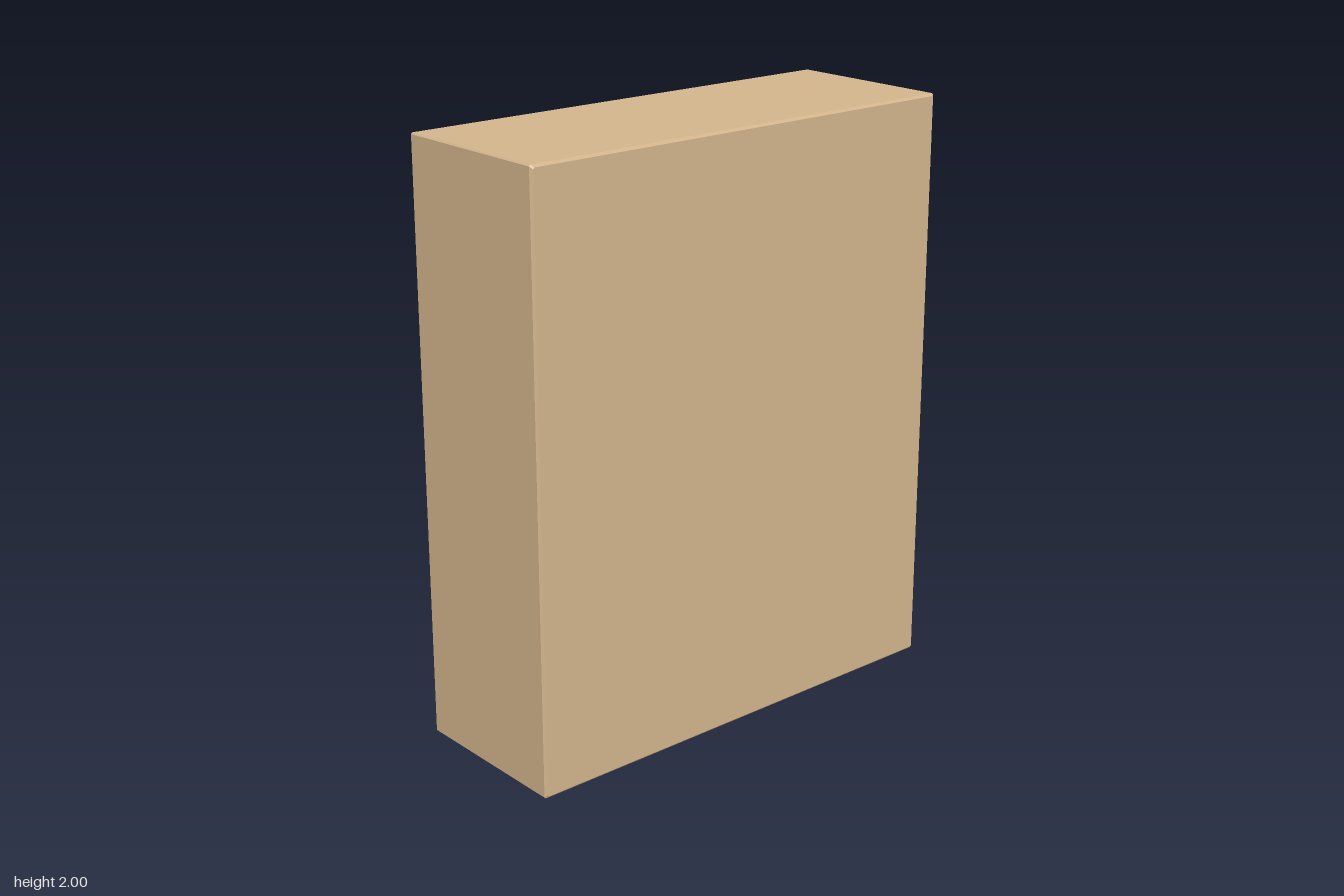
import * as THREE from 'three';
import { RoundedBoxGeometry } from 'three/addons/geometries/RoundedBoxGeometry.js';

const HALF_W = 0.825, HEIGHT = 2, BACK = -0.288, FRONT = 0.313;
const WALL = 0.02, BEVEL = 0.008;

const wood = new THREE.MeshStandardMaterial({ color: 0xd2b48c });
const copper = new THREE.MeshStandardMaterial({ color: 0xcd8a5c });

// Rectangle with cut corners, counter-clockwise, set in from the outer size
function outline(inset, z) {
  const w = HALF_W - inset, b = inset, t = HEIGHT - inset, c = BEVEL * 0.6;
  return [
    [w, b + c], [w, t - c], [w - c, t], [-w + c, t],
    [-w, t - c], [-w, b + c], [-w + c, b], [w - c, b],
  ].map(([x, y]) => [x, y, z]);
}

// Flat-faced skin through a list of outlines, capped at both ends
function loft(loops) {
  const pos = [];
  const tri = (...pts) => pts.forEach((p) => pos.push(...p));
  const n = loops[0].length;
  for (let i = 0; i < loops.length - 1; i++) {
    for (let j = 0; j < n; j++) {
      const k = (j + 1) % n, a = loops[i], b = loops[i + 1];
      tri(a[j], b[j], b[k]);
      tri(a[j], b[k], a[k]);
    }
  }
  const first = loops[0], last = loops[loops.length - 1];
  for (let j = 1; j < n - 1; j++) {
    tri(first[0], first[j], first[j + 1]);
    tri(last[0], last[j + 1], last[j]);
  }
  const g = new THREE.BufferGeometry();
  g.setAttribute('position', new THREE.Float32BufferAttribute(pos, 3));
  g.computeVertexNormals();
  return g;
}

function add(parent, name, geometry, material, x = 0, y = 0, z = 0) {
  const mesh = new THREE.Mesh(geometry, material);
  mesh.name = name;
  mesh.position.set(x, y, z);
  parent.add(mesh);
  return mesh;
}

// Sliding door between two x limits, with a pull handle; z is its outer face
function makeDoor(name, x0, x1, z, handleX) {
  const door = new THREE.Group();
  door.name = name;
  const thick = 0.035, h = HEIGHT - 2 * WALL;
  add(door, 'doorPanel', new THREE.BoxGeometry(x1 - x0, h, thick), wood,
    (x0 + x1) / 2, HEIGHT / 2, z + thick / 2);

  const handle = new THREE.Group();
  handle.name = 'handle';
  handle.position.set(handleX, 0.852, z);
  for (const s of [-1, 1]) {
    add(handle, 'handlePost', new RoundedBoxGeometry(0.027, 0.024, 0.046, 1, 0.003), copper,
      0, s * 0.057, -0.022);
  }
  add(handle, 'handleGrip', new RoundedBoxGeometry(0.021, 0.11, 0.013, 1, 0.003), copper,
    0, 0, -0.0365);
  door.add(handle);
  return door;
}

export function createModel() {
  const cabinet = new THREE.Group();
  cabinet.name = 'slidingDoorCabinet';

  // Bevelled carcass, hollow and open on the door side
  add(cabinet, 'carcass', loft([
    outline(BEVEL, FRONT),
    outline(0, FRONT - BEVEL),
    outline(0, BACK + BEVEL),
    outline(BEVEL, BACK),
    outline(WALL, BACK),
    outline(WALL, FRONT - WALL),
  ]), wood);

  // Two overlapping doors on separate tracks
  const inner = HALF_W - WALL;
  cabinet.add(makeDoor('outerDoor', -inner, 0.02, -0.27, -0.743));
  cabinet.add(makeDoor('innerDoor', -0.02, inner, -0.23, 0.75));
  return cabinet;
}
